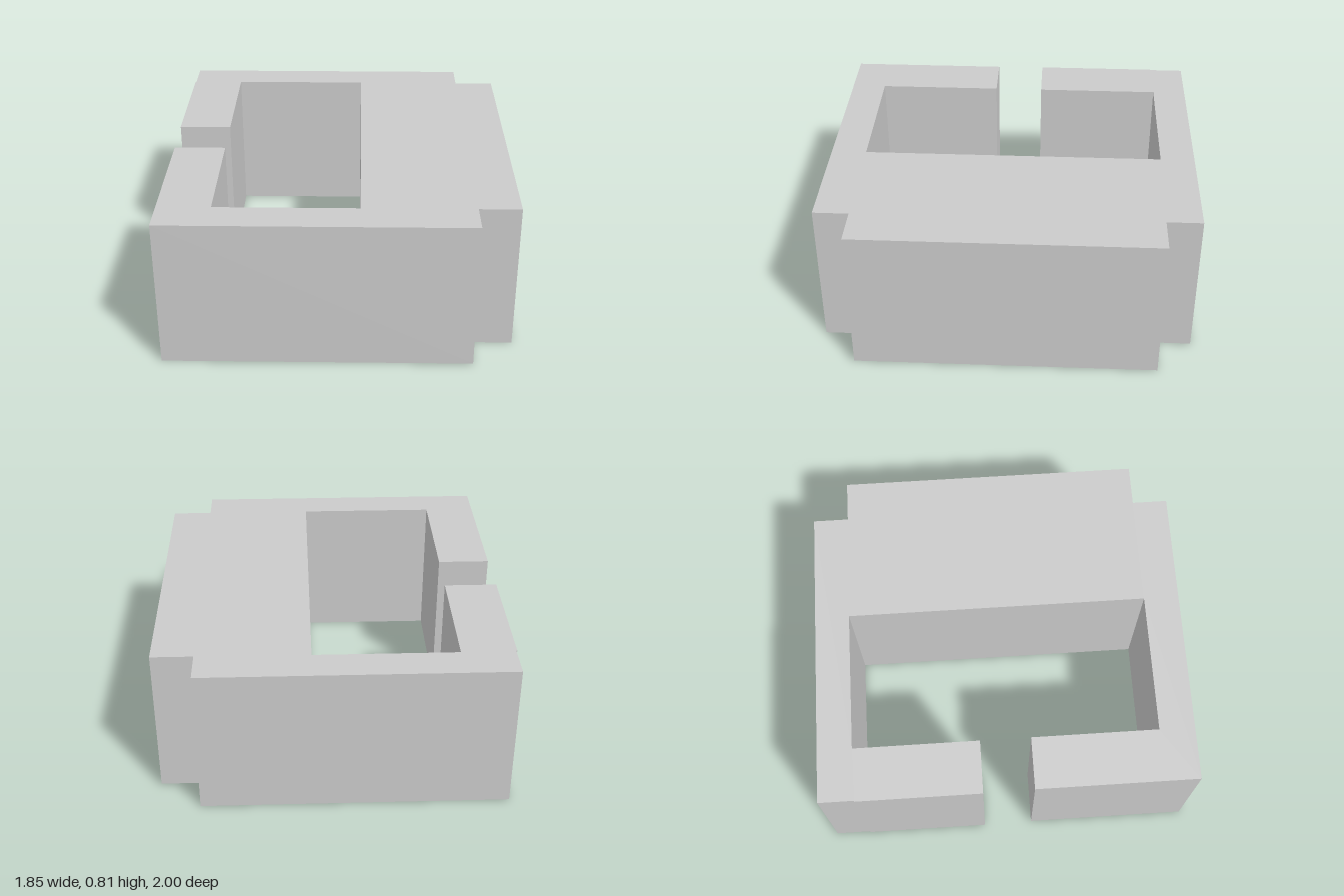
import * as THREE from 'three';

export function createModel() {
  const group = new THREE.Group();
  const height = 0.81;

  // C-shaped plan as (x, z): notched corners on +x, slot opening on -x
  const plan = [
    [-0.92, 1], [0.7, 1], [0.7, 0.81], [0.92, 0.81],
    [0.92, -0.81], [0.7, -0.81], [0.7, -1], [-0.92, -1],
    [-0.92, -0.81], [-0.925, -0.81], // slight step on the slotted wall
    [-0.925, -0.14], [-0.64, -0.14], [-0.64, -0.815], [0.11, -0.815],
    [0.11, 0.81], [-0.64, 0.81], [-0.64, 0.13], [-0.92, 0.13],
  ];
  const shape = new THREE.Shape(plan.map(([x, z]) => new THREE.Vector2(x, z)));

  // Extrude the plan and lay it flat, standing on y = 0
  const geometry = new THREE.ExtrudeGeometry(shape, { depth: height, bevelEnabled: false });
  geometry.rotateX(Math.PI / 2);
  geometry.translate(0, height, 0);

  const material = new THREE.MeshStandardMaterial({ color: 0xcccccc, flatShading: true });
  const block = new THREE.Mesh(geometry, material);
  block.name = 'slottedBlock';
  group.add(block);
  return group;
}
